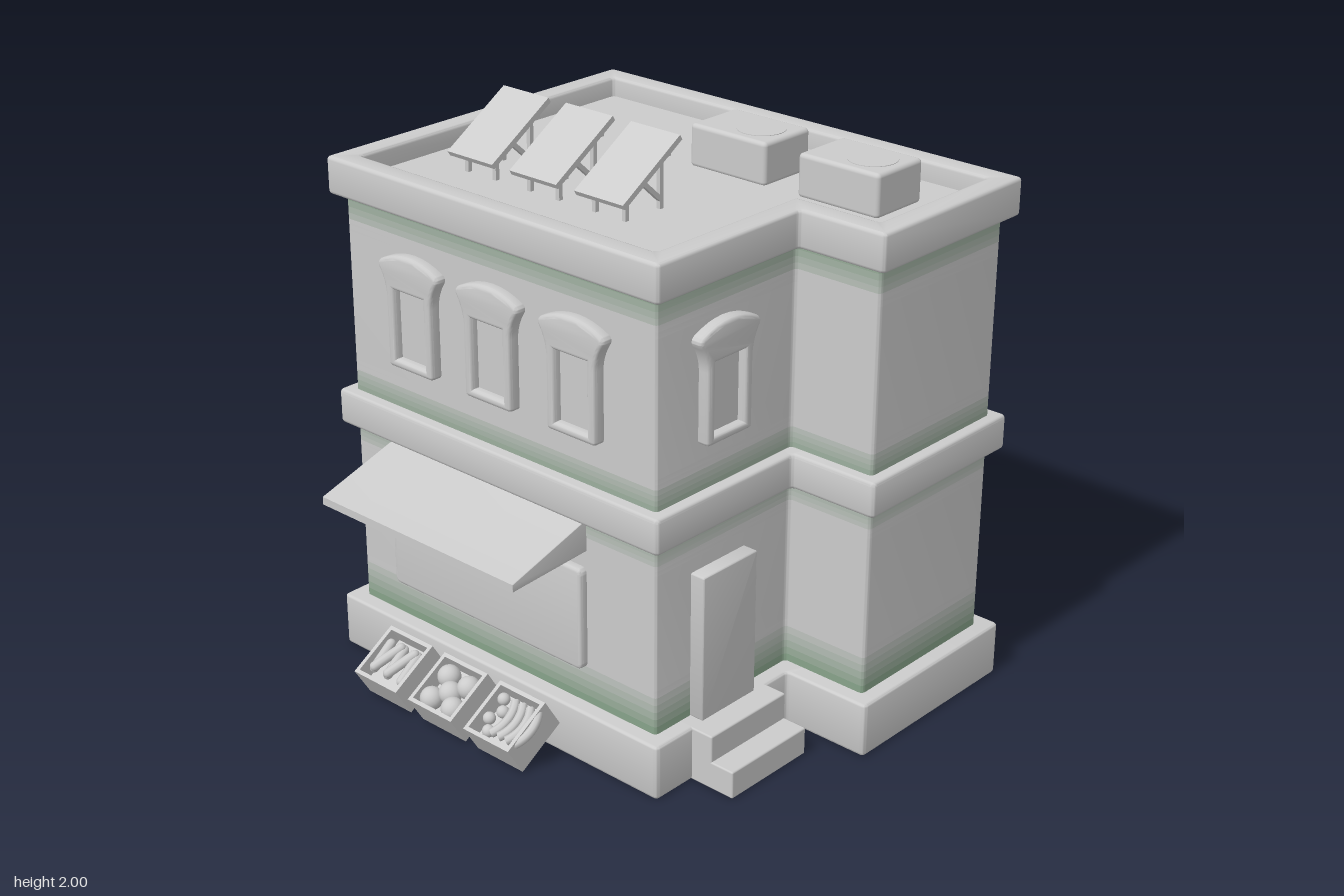
import * as THREE from 'three';
import { toCreasedNormals } from 'three/addons/utils/BufferGeometryUtils.js';
import { RoundedBoxGeometry } from 'three/addons/geometries/RoundedBoxGeometry.js';

const GREY = new THREE.Color(0xcccccc);
const MOSS = new THREE.Color(0x7f9f82);
const grey = new THREE.MeshStandardMaterial({ color: GREY });

function add(parent, name, geo, x = 0, y = 0, z = 0, mat = grey) {
  const m = new THREE.Mesh(geo, mat);
  m.name = name;
  m.position.set(x, y, z);
  parent.add(m);
  return m;
}

// Extrusion that keeps the drawn outline and total depth, with softened edges
function extrude(shape, depth, bevel = 0) {
  const g = new THREE.ExtrudeGeometry(shape, {
    depth: depth - 2 * bevel, bevelEnabled: bevel > 0, bevelSize: bevel,
    bevelThickness: bevel, bevelOffset: -bevel, bevelSegments: 3, curveSegments: 8,
  });
  g.translate(0, 0, bevel);
  return toCreasedNormals(g, 0.7);
}

// Closed outline through points, each corner rounded by r
function rounded(points, r) {
  const s = new THREE.Shape();
  const v = points.map(([x, y]) => new THREE.Vector2(x, y));
  v.forEach((p, i) => {
    const toward = (q) => p.clone().add(q.clone().sub(p).setLength(r));
    const a = toward(v[(i + v.length - 1) % v.length]);
    const b = toward(v[(i + 1) % v.length]);
    if (i) s.lineTo(a.x, a.y); else s.moveTo(a.x, a.y);
    s.quadraticCurveTo(p.x, p.y, b.x, b.y);
  });
  s.closePath();
  return s;
}

// L-shaped footprint grown outward by o (shape y is -z)
const footprint = (o, r = 0.018) => rounded([
  [-0.86 - o, -0.51 - o], [0.53 + o, -0.51 - o], [0.53 + o, 0.14 - o],
  [0.86 + o, 0.14 - o], [0.86 + o, 0.78 + o], [-0.86 - o, 0.78 + o]], r);

function storeySlab(parent, name, shape, y0, y1, bevel, mat) {
  return add(parent, name, extrude(shape, y1 - y0, bevel).rotateX(-Math.PI / 2), 0, y0, 0, mat);
}

const rect = (w, h, r) => rounded([[-w / 2, 0], [w / 2, 0], [w / 2, h], [-w / 2, h]], r);

// Puts an object on a wall: u runs along that wall
function onWall(obj, wall, u, y) {
  const [x, z, turn] = {
    front: [u, 0.51, 0], back: [u, -0.78, Math.PI],
    left: [0.53, u, Math.PI / 2], right: [-0.86, u, -Math.PI / 2],
  }[wall];
  obj.position.set(x, y, z);
  obj.rotation.y = turn;
}

function archedWindow() {
  const g = new THREE.Group();
  g.name = 'archedWindow';
  const s = new THREE.Shape();
  s.moveTo(-0.09, 0);
  s.lineTo(0.09, 0);
  s.quadraticCurveTo(0.106, 0, 0.106, 0.016);
  s.lineTo(0.106, 0.25);
  s.quadraticCurveTo(0.108, 0.3, 0.138, 0.345);
  s.quadraticCurveTo(0.146, 0.36, 0.13, 0.372);
  s.quadraticCurveTo(0, 0.436, -0.13, 0.372);
  s.quadraticCurveTo(-0.146, 0.36, -0.138, 0.345);
  s.quadraticCurveTo(-0.108, 0.3, -0.106, 0.25);
  s.lineTo(-0.106, 0.016);
  s.quadraticCurveTo(-0.106, 0, -0.09, 0);
  const hole = new THREE.Path();
  hole.moveTo(-0.07, 0.03);
  hole.lineTo(-0.07, 0.277);
  hole.lineTo(0.07, 0.277);
  hole.lineTo(0.07, 0.03);
  hole.closePath();
  s.holes.push(hole);
  add(g, 'windowFrame', extrude(s, 0.055, 0.014), 0, 0, -0.013);
  add(g, 'windowPane', new THREE.BoxGeometry(0.15, 0.26, 0.02), 0, 0.153, 0);
  return g;
}

function crate(kind) {
  const g = new THREE.Group();
  g.name = 'produceCrate';
  const w = 0.21, h = 0.125, d = 0.205, t = 0.014;
  add(g, 'crateFloor', new THREE.BoxGeometry(w, 0.06, d), 0, -h / 2 + 0.03, 0);
  for (const s of [-1, 1]) {
    add(g, 'crateSide', new THREE.BoxGeometry(t, h, d), s * (w - t) / 2, 0, 0);
    add(g, 'crateEnd', new THREE.BoxGeometry(w, h, t), 0, 0, s * (d - t) / 2);
  }
  const ball = (x, z, r) => add(g, 'roundFruit', new THREE.SphereGeometry(r, 16, 12), x, 0.03, z);
  if (kind === 0) {
    for (let i = 0; i < 5; i++) {
      const v = add(g, 'longVegetable', new THREE.CapsuleGeometry(0.017, 0.11, 4, 10),
        -0.068 + i * 0.034, 0.04 + (i % 2) * 0.012, 0);
      v.rotation.set(Math.PI / 2 - 0.12, 0, i % 2 ? 0.3 : -0.2);
    }
  } else if (kind === 1) {
    [[-0.05, -0.045], [0.05, -0.04], [0, 0.005], [-0.052, 0.05], [0.05, 0.05]]
      .forEach(([x, z]) => ball(x, z, 0.041));
  } else {
    for (let i = 0; i < 4; i++) {
      const b = add(g, 'curvedFruit', new THREE.TorusGeometry(0.11, 0.016, 8, 12, 1.3).rotateZ(-0.65),
        -0.1 + i * 0.035, 0.045, 0);
      b.rotation.x = Math.PI / 2;
    }
    for (let i = 0; i < 4; i++) ball(-0.07 + (i % 2) * 0.03, -0.06 + i * 0.04, 0.022);
  }
  return g;
}

function solarPanel() {
  const g = new THREE.Group();
  g.name = 'solarPanel';
  const tilt = 0.562;
  add(g, 'panel', new THREE.BoxGeometry(0.21, 0.02, 0.312), 0, 1.908, 0.1175).rotation.x = tilt;
  const bar = (name, x, ya, za, yb, zb) => {
    const len = Math.hypot(yb - ya, zb - za);
    add(g, name, new THREE.BoxGeometry(0.016, len, 0.016), x, (ya + yb) / 2, (za + zb) / 2)
      .rotation.x = Math.atan2(zb - za, yb - ya);
  };
  for (const x of [-0.065, 0.065]) {
    bar('rearLeg', x, 1.76, 0.04, 1.945, 0.04);
    bar('frontLeg', x, 1.76, 0.2, 1.85, 0.2);
    bar('brace', x, 1.79, 0.04, 1.885, 0.145);
    bar('rail', x, 1.825, 0.225, 1.965, 0.005);
  }
  add(g, 'crossBar', new THREE.BoxGeometry(0.19, 0.016, 0.016), 0, 1.945, 0.03);
  return g;
}

export function createModel() {
  const model = new THREE.Group();
  model.name = 'cornerShop';

  // Plinth, belt course, roof deck and parapet
  storeySlab(model, 'plinth', footprint(0.057), 0, 0.195, 0.01);
  storeySlab(model, 'beltCourse', footprint(0.042), 0.87, 0.995, 0.013);
  const parapet = footprint(0.042);
  parapet.holes.push(new THREE.Path(footprint(-0.04, 0.015).getPoints(6).reverse()));
  storeySlab(model, 'parapet', parapet, 1.7, 1.83, 0.012);
  storeySlab(model, 'roofDeck', footprint(-0.03), 1.69, 1.76, 0);

  // Walls, tinted in fading steps towards floor and ceiling
  const wall = (y0, y1, tint) => storeySlab(model, 'wall', footprint(0), y0, y1, 0,
    new THREE.MeshStandardMaterial({ color: GREY.clone().lerp(MOSS, tint) }));
  function storey(y0, y1, low, high, lowTint, highTint) {
    const n = 6;
    for (let i = 0; i < n; i++) {
      const fade = 1 - (i + 0.5) / n;
      wall(y0 + low * i / n, y0 + low * (i + 1) / n, lowTint * fade);
      wall(y1 - high * (i + 1) / n, y1 - high * i / n, highTint * fade);
    }
    wall(y0 + low, y1 - high, 0);
  }
  storey(0.195, 0.87, 0.16, 0.1, 1, 0.6);
  storey(0.995, 1.7, 0.11, 0.13, 0.75, 0.85);

  // Arched windows
  const windows = [
    ['front', [-0.53, -0.165, 0.205], [1.16]],
    ['left', [0.213], [1.16]],
    ['right', [-0.525, -0.145, 0.235], [1.16]],
    ['back', [-0.47, 0, 0.47], [0.36, 1.16]],
  ];
  for (const [side, us, ys] of windows) for (const u of us) for (const y of ys) {
    const w = archedWindow();
    onWall(w, side, u, y);
    model.add(w);
  }

  // Wide shop windows and door
  const shopWindow = (side, u, w) =>
    onWall(add(model, 'shopWindow', extrude(rect(w, 0.37, 0.025), 0.045, 0.012).translate(0, 0, -0.015)), side, u, 0.325);
  shopWindow('front', -0.22, 0.9);
  shopWindow('right', -0.145, 0.97);
  onWall(add(model, 'door', extrude(rect(0.26, 0.525, 0.006), 0.07, 0.005).translate(0, 0, -0.015)), 'left', 0.215, 0.195);

  // Door steps
  add(model, 'upperStep', new RoundedBoxGeometry(0.16, 0.195, 0.37, 2, 0.006), 0.59, 0.0975, 0.212);
  add(model, 'lowerStep', new RoundedBoxGeometry(0.2, 0.1, 0.37, 2, 0.006), 0.66, 0.05, 0.212);

  // Awning: wedge profile swept along x
  const profile = new THREE.Shape([[-0.5, 0.755], [-0.5, 0.87], [-0.84, 0.765], [-0.84, 0.737]]
    .map(([x, y]) => new THREE.Vector2(x, y)));
  add(model, 'awning', extrude(profile, 0.9, 0.003).rotateY(Math.PI / 2), -0.67, 0, 0);

  // Tilted crates of produce
  for (let i = 0; i < 3; i++) {
    const c = crate(i);
    c.position.set(-0.49 + i * 0.27, 0.11, 0.688);
    c.rotation.x = 0.55;
    model.add(c);
  }

  // Rooftop equipment
  for (let i = 0; i < 3; i++) {
    const p = solarPanel();
    p.position.x = -0.53 + i * 0.29;
    model.add(p);
  }
  for (const x of [0.062, 0.522]) {
    add(model, 'airUnit', new RoundedBoxGeometry(0.325, 0.15, 0.23, 3, 0.015), x, 1.83, -0.46);
    add(model, 'airUnitFan', new THREE.CylinderGeometry(0.083, 0.083, 0.01, 32), x + 0.05, 1.902, -0.46);
  }
  return model;
}
